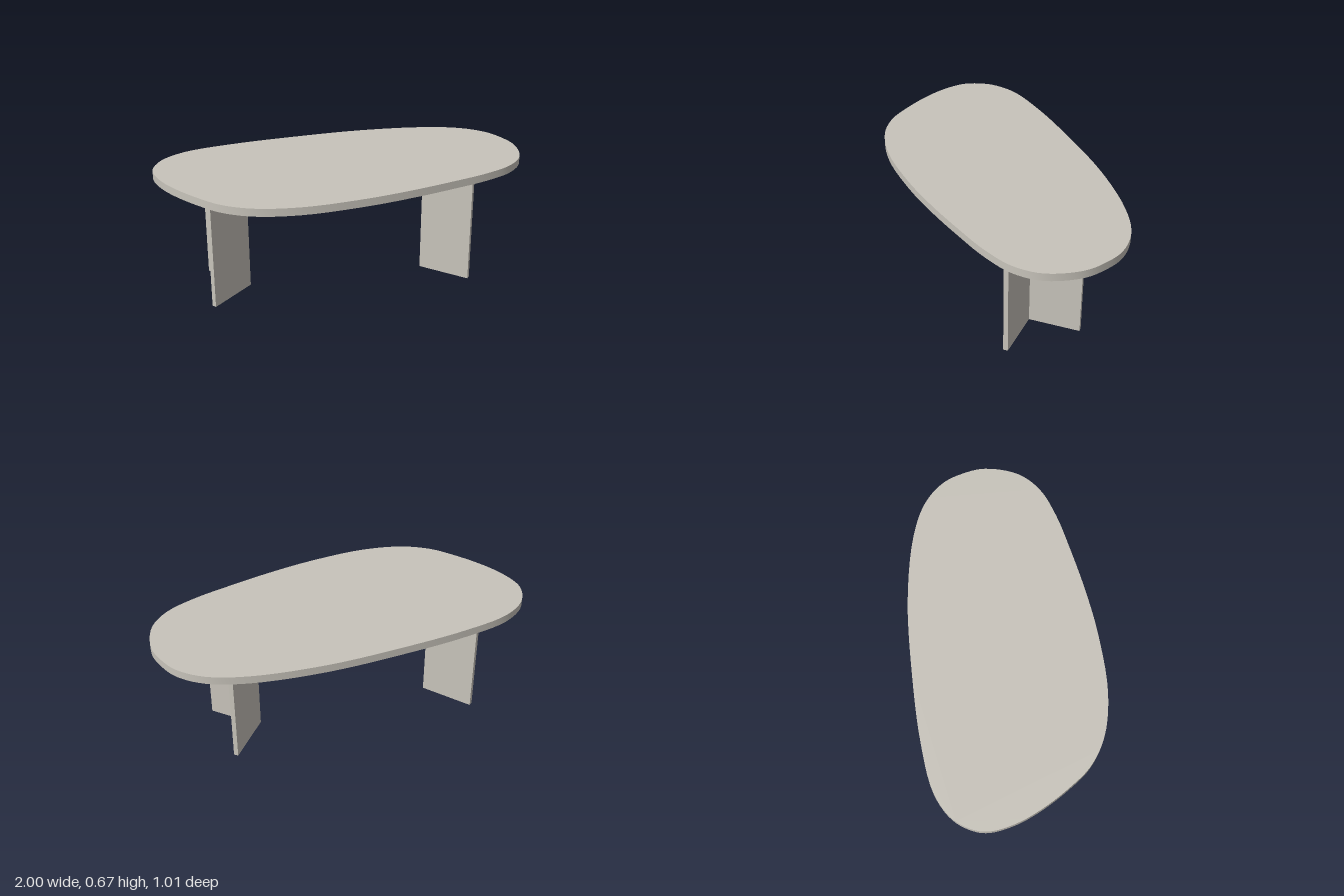
import * as THREE from 'three';
import { toCreasedNormals } from 'three/addons/utils/BufferGeometryUtils.js';

const TOP_Y = 0.672, UNDER_Y = 0.63;

// Plan drawn in (x, z), raised from y0 to y1
function slab(points, y0, y1) {
  const shape = new THREE.Shape(points.map(([x, z]) => new THREE.Vector2(x, -z)));
  const geo = new THREE.ExtrudeGeometry(shape, { depth: y1 - y0, bevelEnabled: false });
  geo.rotateX(-Math.PI / 2).translate(0, y0, 0);
  return toCreasedNormals(geo, 0.5);
}

export function createModel() {
  const model = new THREE.Group();
  model.name = 'coffeeTable';
  const stone = new THREE.MeshStandardMaterial({ color: 0xc8c4bb });
  stone.name = 'warm grey stone';

  const add = (name, geo) => {
    const mesh = new THREE.Mesh(geo, stone);
    mesh.name = name;
    model.add(mesh);
  };

  // Pebble-shaped top: smooth closed curve through a few plan points
  const outline = [
    [1, -0.08], [0.975, -0.2], [0.92, -0.31], [0.8, -0.41], [0.6, -0.475], [0.23, -0.508],
    [-0.2, -0.487], [-0.55, -0.447], [-0.8, -0.388], [-0.93, -0.3], [-0.988, -0.2], [-1, -0.12],
    [-0.967, 0.01], [-0.9, 0.14], [-0.8, 0.28], [-0.7, 0.388], [-0.55, 0.468], [-0.32, 0.503],
    [0, 0.475], [0.25, 0.425], [0.5, 0.358], [0.7, 0.295], [0.86, 0.215], [0.96, 0.1],
  ];
  const curve = new THREE.CatmullRomCurve3(
    outline.map(([x, z]) => new THREE.Vector3(x, 0, z)), true);
  const rim = curve.getPoints(120).slice(0, -1).map((p) => [p.x, p.z]);
  add('tableTop', slab(rim, UNDER_Y, TOP_Y));

  // V-shaped plate legs, opening outwards
  const legPlan = [
    [0.449, -0.018], [0.665, 0.187], [0.681, 0.168],
    [0.48, -0.022], [0.656, -0.237], [0.637, -0.252],
  ];
  add('leftLeg', slab(legPlan, 0, UNDER_Y));
  add('rightLeg', slab(legPlan.map(([x, z]) => [-x - 0.075, z]), 0, UNDER_Y));

  return model;
}
